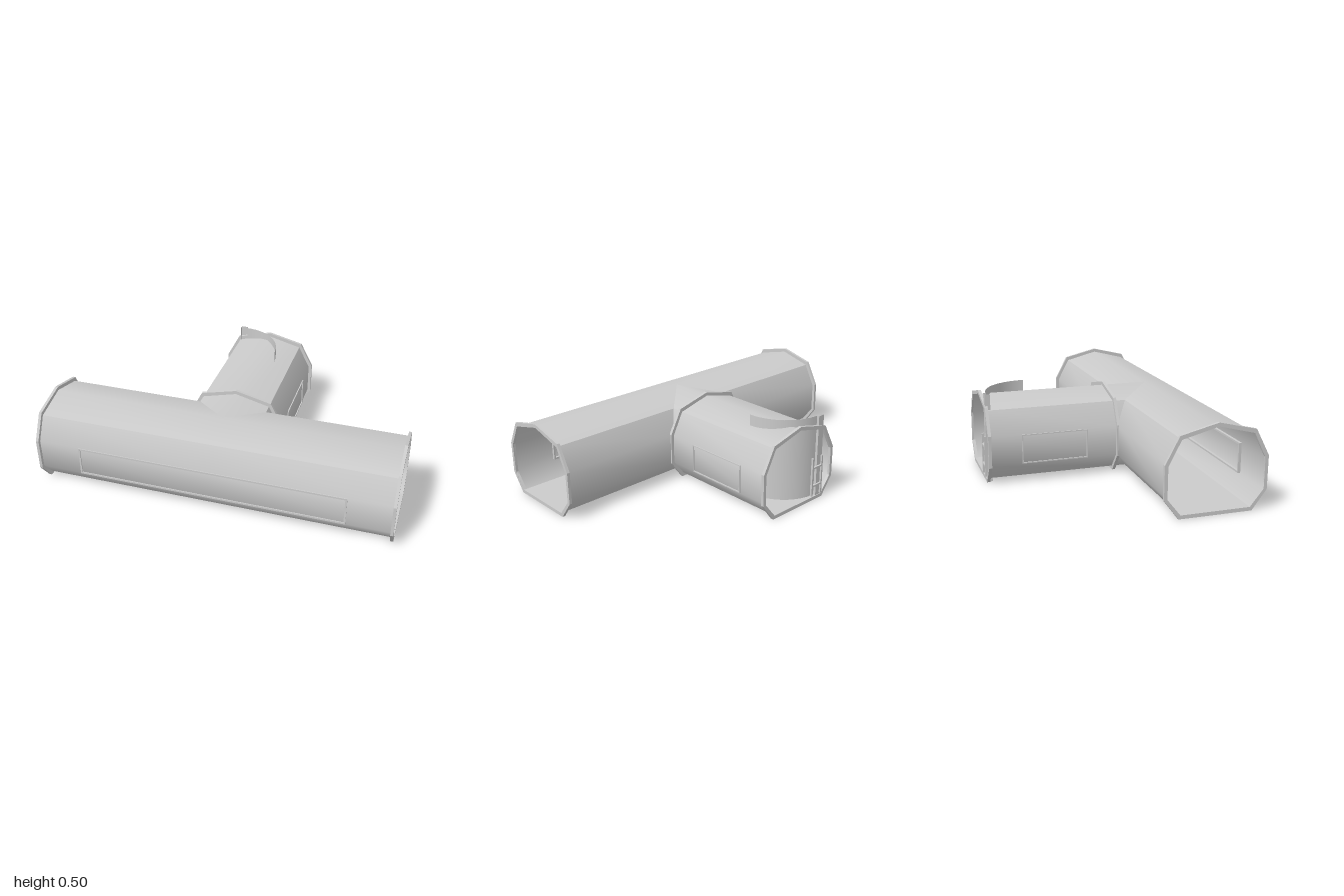
import * as THREE from 'three';
import { toCreasedNormals } from 'three/addons/utils/BufferGeometryUtils.js';

const C = 0.365;  // z of the main corridor axis
const END = -0.63; // z of the branch end
// Half cross-sections (half width, height) from ridge to floor
const HALF = [[0, 0.46], [0.195, 0.41], [0.262, 0.28], [0.262, 0.11], [0.19, 0.02]];
const RIM = [[0, 0.48], [0.205, 0.43], [0.28, 0.287], [0.28, 0.106], [0.2, 0]];

const mat = new THREE.MeshStandardMaterial({ color: 0xcccccc, side: THREE.DoubleSide });

function add(parent, geometry, name, x = 0, y = 0, z = 0, ry = 0) {
  const m = new THREE.Mesh(geometry, mat);
  m.name = name;
  m.position.set(x, y, z);
  m.rotation.y = ry;
  parent.add(m);
  return m;
}

// Builds a creased shell from quads, each given with s = -1 to mirror it in x
function shell(quads) {
  const pos = [];
  for (const { s, p } of quads) {
    const q = p.map(([x, y, z]) => [x * s, y, z]);
    if (s < 0) q.reverse();
    for (const i of [0, 1, 2, 0, 2, 3]) pos.push(...q[i]);
  }
  const g = new THREE.BufferGeometry();
  g.setAttribute('position', new THREE.Float32BufferAttribute(pos, 3));
  return toCreasedNormals(g, 0.75);
}

const closed = half => [...half, ...half.slice(1).reverse().map(([x, y]) => [-x, y])]
  .map(([x, y]) => new THREE.Vector2(x, y));

// Flat collar around a corridor, centred on its thickness
function rimGeometry(depth) {
  const shape = new THREE.Shape(closed(RIM));
  shape.holes.push(new THREE.Path(closed(HALF)));
  return new THREE.ExtrudeGeometry(shape, { depth, bevelEnabled: false }).translate(0, 0, -depth / 2);
}

// Thin rectangular frame
function frameGeometry(w, h, t, depth) {
  const rect = (a, b) => [[-a, -b], [a, -b], [a, b], [-a, b]].map(p => new THREE.Vector2(...p));
  const shape = new THREE.Shape(rect(w / 2, h / 2));
  shape.holes.push(new THREE.Path(rect(w / 2 - t, h / 2 - t)));
  return new THREE.ExtrudeGeometry(shape, { depth, bevelEnabled: false }).translate(0, 0, -depth / 2);
}

export function createModel() {
  const root = new THREE.Group();
  root.name = 'corridorJunction';

  // Main corridor and branch, mitred where they meet
  const main = [], branch = [];
  for (const s of [1, -1]) {
    for (let i = 0; i < HALF.length - 1; i++) {
      const [a, ya] = HALF[i], [b, yb] = HALF[i + 1];
      main.push({ s, p: [[0, ya, C + a], [0, yb, C + b], [1, yb, C + b], [1, ya, C + a]] });
      main.push({ s, p: [[1, ya, C - a], [1, yb, C - b], [b, yb, C - b], [a, ya, C - a]] });
      branch.push({ s, p: [[a, ya, C - a], [b, yb, C - b], [b, yb, END], [a, ya, END]] });
    }
    const [f, y] = HALF[4];
    main.push({ s, p: [[0, y, C - f], [1, y, C - f], [1, y, C + f], [0, y, C + f]] });
    branch.push({ s, p: [[0, y, END], [f, y, END], [f, y, C - f], [0, y, C - f]] });
  }
  add(root, shell(main), 'mainCorridor');
  add(root, shell(branch), 'branchCorridor');

  // Collars at the open ends and at the junction
  for (const s of [1, -1]) add(root, rimGeometry(0.016), 'mainRim', s * 0.992, 0, C, Math.PI / 2);
  add(root, rimGeometry(0.017), 'junctionRim', 0, 0, 0.104);
  add(root, rimGeometry(0.017), 'branchRim', 0, 0, END);

  // Window frames
  add(root, frameGeometry(1.5, 0.168, 0.01, 0.02), 'frontWindowFrame', 0, 0.194, 0.622);
  for (const s of [1, -1]) {
    add(root, frameGeometry(0.375, 0.165, 0.006, 0.016), 'sideWindowFrame', s * 0.26, 0.195, -0.262, Math.PI / 2);
  }

  // Curved sliding door standing in the branch end
  const path = [[-0.19, -0.605], [-0.19, -0.635], [-0.15, -0.635], [-0.15, -0.62]];
  for (let i = 1; i <= 14; i++) {
    const t = (i / 14) * Math.PI / 2;
    path.push([-0.15 + 0.25 * Math.sin(t), -0.357 - 0.263 * Math.cos(t)]);
  }
  const door = [];
  for (let i = 0; i < path.length - 1; i++) {
    const [x0, z0] = path[i], [x1, z1] = path[i + 1];
    door.push({ s: 1, p: [[x0, 0, z0], [x0, 0.498, z0], [x1, 0.498, z1], [x1, 0, z1]] });
  }
  add(root, shell(door), 'curvedDoor');

  // Ladder-like handle on the outside of the door
  const handle = new THREE.Group();
  handle.name = 'doorHandle';
  root.add(handle);
  for (const x of [-0.185, -0.11]) add(handle, new THREE.BoxGeometry(0.01, 0.23, 0.012), 'handleRail', x, 0.145, -0.639);
  for (const y of [0.09, 0.2]) add(handle, new THREE.BoxGeometry(0.085, 0.01, 0.012), 'handleRung', -0.1475, y, -0.639);

  return root;
}
